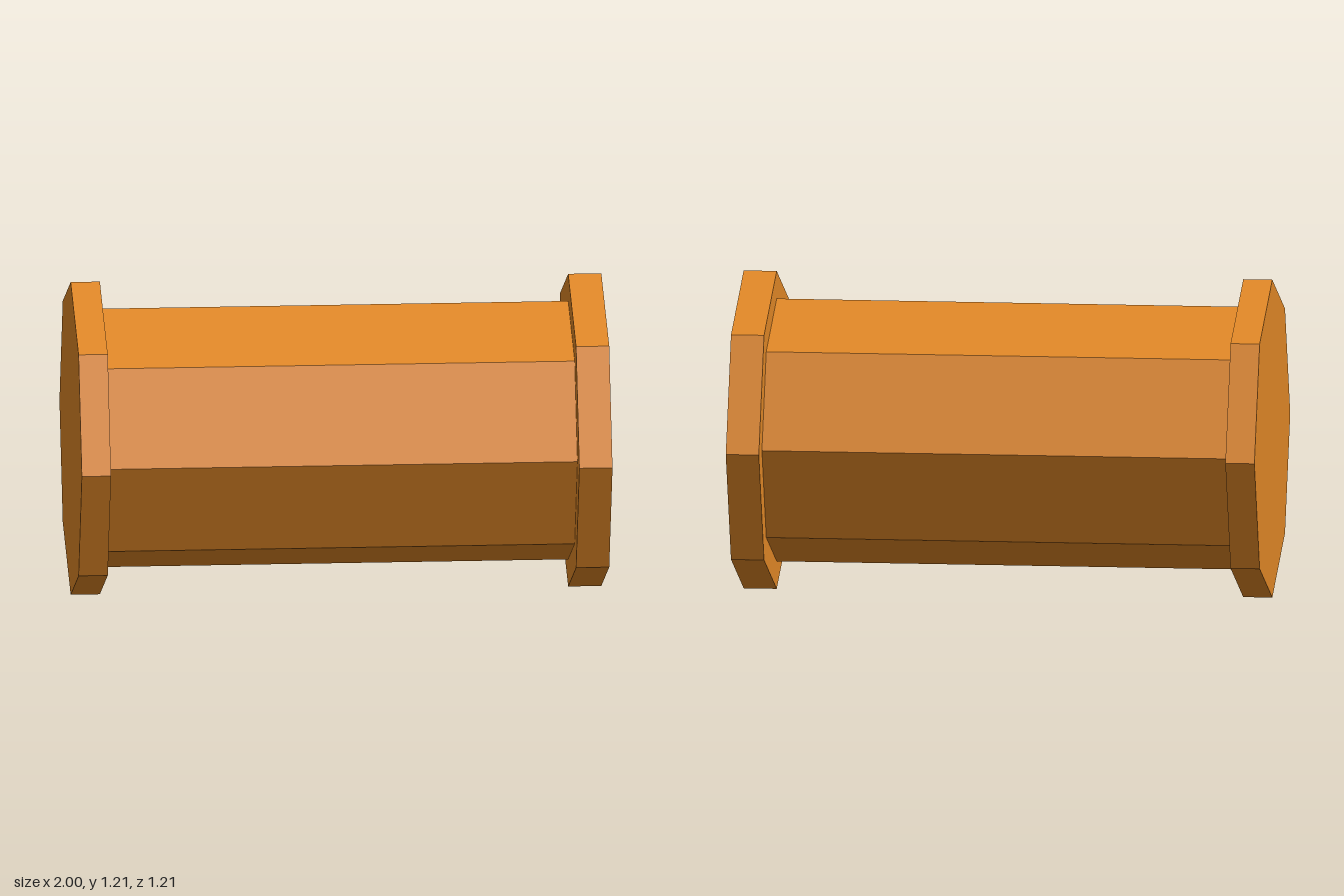
import * as THREE from 'three';

export function createModel() {
  const group = new THREE.Group();
  const orange = new THREE.MeshStandardMaterial({ color: 0xe08726, flatShading: true });
  orange.name = 'orange';
  const sides = 8;
  const centreY = 0.605;

  // Octagonal prism lying along x, one corner pointing up
  function addPrism(name, radius, x0, x1) {
    const geometry = new THREE.CylinderGeometry(radius, radius, x1 - x0, sides);
    geometry.rotateZ(-Math.PI / 2);
    const mesh = new THREE.Mesh(geometry, orange);
    mesh.name = name;
    mesh.position.set((x0 + x1) / 2, centreY, 0);
    group.add(mesh);
  }

  addPrism('barrel', 0.5, -0.89, 0.875);
  addPrism('rightFlange', 0.605, -1, -0.89);
  addPrism('leftFlange', 0.605, 0.875, 1);

  return group;
}
